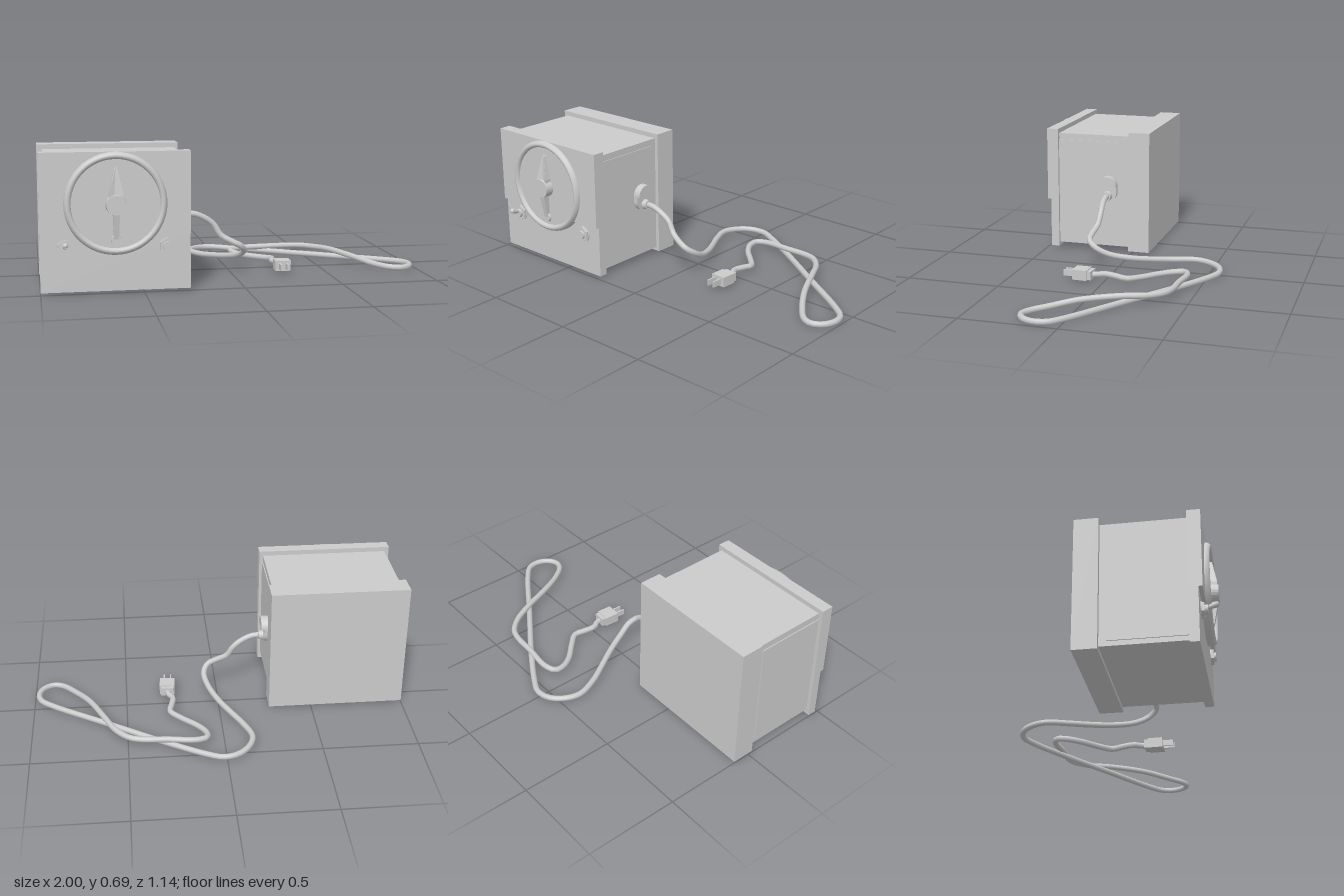
import * as THREE from 'three';

const grey = new THREE.MeshStandardMaterial({ color: 0xcccccc, side: THREE.DoubleSide });
const flat = new THREE.MeshStandardMaterial({ color: 0xcccccc, flatShading: true, side: THREE.DoubleSide });

function add(parent, name, geometry, x = 0, y = 0, z = 0, material = flat) {
  const mesh = new THREE.Mesh(geometry, material);
  mesh.name = name;
  mesh.position.set(x, y, z);
  parent.add(mesh);
  return mesh;
}

// Box given by its min and max corners
function block(parent, name, a, b) {
  const [w, h, d] = b.map((v, i) => v - a[i]);
  return add(parent, name, new THREE.BoxGeometry(w, h, d),
    (a[0] + b[0]) / 2, (a[1] + b[1]) / 2, (a[2] + b[2]) / 2);
}

// Cylinder whose axis points to +z, starting at z = 0
function disc(r0, r1, depth, sides) {
  return new THREE.CylinderGeometry(r1, r0, depth, sides).rotateX(Math.PI / 2).translate(0, 0, depth / 2);
}

function makeHousing() {
  const g = new THREE.Group();
  g.name = 'housing';
  block(g, 'body', [-0.975, 0.03, 0.02], [-0.29, 0.665, 0.44]);
  block(g, 'backCover', [-1, 0.01, -0.095], [-0.27, 0.69, 0.025]);
  block(g, 'lowerFrontPanel', [-1, 0.01, 0.435], [-0.27, 0.285, 0.481]);
  block(g, 'upperFrontPanel', [-1, 0.285, 0.435], [-0.27, 0.69, 0.5]);
  for (const x of [-0.976, -0.289]) {
    block(g, 'sidePanel', [x - 0.004, 0.055, 0.06], [x + 0.004, 0.63, 0.435]);
  }
  return g;
}

function makeDial() {
  const g = new THREE.Group();
  g.name = 'dial';
  g.position.set(-0.635, 0.44, 0);
  // Rounded bezel around a flat face
  const profile = [[0.25, 0.475], [0.25, 0.5], [0.246, 0.514], [0.238, 0.523], [0.23, 0.525],
    [0.222, 0.522], [0.217, 0.515], [0.215, 0.505]].map(([r, z]) => new THREE.Vector2(r, z));
  add(g, 'bezel', new THREE.LatheGeometry(profile, 48).rotateX(Math.PI / 2), 0, 0, 0, grey);
  add(g, 'dialFace', disc(0.218, 0.218, 0.03, 48), 0, 0, 0.477, grey);

  // Needle, thick at the hub and thin at the tip
  const needle = new THREE.Shape([[-0.007, 0.17], [0, 0.18], [0.007, 0.17], [0.034, 0.05], [0.034, 0],
    [0.016, -0.05], [0.012, -0.17], [-0.012, -0.17], [-0.016, -0.05], [-0.034, 0], [-0.034, 0.05]]
    .map(([x, y]) => new THREE.Vector2(x, y)));
  const geo = new THREE.ExtrudeGeometry(needle, { depth: 0.03, bevelEnabled: false });
  const p = geo.attributes.position;
  for (let i = 0; i < p.count; i++) {
    const far = Math.max(0, Math.abs(p.getY(i)) - 0.05) / 0.13;
    if (p.getZ(i) > 0) p.setZ(i, 0.038 - 0.024 * Math.min(1, far));
  }
  geo.computeVertexNormals();
  add(g, 'needle', geo, 0, 0, 0.506);
  add(g, 'needleTail', disc(0.026, 0.024, 0.014, 20), 0, -0.175, 0.506);
  add(g, 'hub', disc(0.051, 0.048, 0.044, 24), 0, -0.003, 0.506);
  return g;
}

function makeControl(name, x) {
  const g = new THREE.Group();
  g.name = name;
  g.position.set(x, 0.225, 0.48);
  add(g, 'washer', disc(0.042, 0.042, 0.005, 24));
  add(g, 'hexNut', disc(0.042, 0.042, 0.018, 6));
  return g;
}

function makeStrainRelief() {
  const g = new THREE.Group();
  g.name = 'strainRelief';
  // Half rounds meeting at a step, cap above and cord outlet below
  const half = (name, cy, cut, sign, depth) => {
    const s = new THREE.Shape();
    s.moveTo(-0.055, cut - cy);
    s.lineTo(0.055, cut - cy);
    s.absarc(0, 0, 0.055, 0, sign * Math.PI, sign < 0);
    s.closePath();
    const geo = new THREE.ExtrudeGeometry(s, { depth, bevelEnabled: false, curveSegments: 14 });
    add(g, name, geo.rotateY(Math.PI / 2), -0.295, cy, 0.145);
  };
  half('reliefCap', 0.382, 0.382, 1, 0.05);
  half('reliefBase', 0.35, 0.382, -1, 0.035);
  const collar = disc(0.03, 0.024, 0.04, 16).rotateY(Math.PI / 2);
  add(g, 'collar', collar, -0.275, 0.328, 0.142, grey);
  return g;
}

function makeCord() {
  const points = [[-0.28, 0.328, 0.142], [-0.2, 0.326, 0.14], [-0.14, 0.3, 0.137], [-0.095, 0.265, 0.132],
    [-0.06, 0.21, 0.138], [0, 0.175, 0.152], [0.045, 0.152, 0.152], [0.07, 0.12, 0.11], [0.055, 0.085, 0.04],
    [0.01, 0.06, -0.07], [-0.05, 0.045, -0.18], [-0.105, 0.036, -0.28], [-0.145, 0.033, -0.4],
    [-0.12, 0.03, -0.48], [-0.06, 0.026, -0.54], [0.02, 0.022, -0.555], [0.1, 0.019, -0.52], [0.3, 0.018, -0.4],
    [0.6, 0.018, -0.2], [0.9, 0.018, 0], [0.965, 0.018, 0.06], [0.98, 0.018, 0.12], [0.955, 0.018, 0.185],
    [0.9, 0.018, 0.217], [0.85, 0.019, 0.2], [0.78, 0.026, 0.12], [0.7, 0.045, -0.01], [0.62, 0.055, -0.19],
    [0.56, 0.05, -0.31], [0.49, 0.048, -0.38], [0.42, 0.046, -0.4], [0.3, 0.044, -0.405], [0.15, 0.038, -0.415],
    [0.09, 0.034, -0.39], [0.09, 0.03, -0.34], [0.13, 0.026, -0.27], [0.22, 0.025, -0.18], [0.27, 0.028, -0.12],
    [0.26, 0.032, -0.07], [0.248, 0.036, 0], [0.27, 0.037, 0.035], [0.275, 0.037, 0.08]];
  const curve = new THREE.CatmullRomCurve3(points.map(v => new THREE.Vector3(...v)), false, 'centripetal');
  const cord = new THREE.Mesh(new THREE.TubeGeometry(curve, 160, 0.016, 8), grey);
  cord.name = 'cord';
  return cord;
}

function makePlug() {
  const g = new THREE.Group();
  g.name = 'plug';
  g.position.set(0.274, 0.038, 0.11);
  g.rotation.y = -0.06;
  block(g, 'plugBody', [-0.041, -0.027, -0.03], [0.041, 0.027, 0.05]);
  block(g, 'plugRear', [-0.034, -0.023, -0.052], [0.034, 0.023, -0.03]);
  for (const x of [-0.018, 0.018]) {
    block(g, 'prong', [x - 0.004, -0.016, 0.05], [x + 0.004, 0.016, 0.106]);
  }
  return g;
}

export function createModel() {
  const model = new THREE.Group();
  model.add(makeHousing(), makeDial(), makeStrainRelief(), makeCord(), makePlug());

  // Toggle switch with a raised lever
  const toggle = makeControl('toggleSwitch', -0.88);
  add(toggle, 'bushing', disc(0.024, 0.024, 0.034, 16), 0, 0, 0, grey);
  const lever = add(toggle, 'lever', disc(0.009, 0.014, 0.056, 12), 0, 0.008, 0.02, grey);
  lever.rotation.x = -0.3;
  add(toggle, 'leverTip', new THREE.SphereGeometry(0.014, 12, 8), 0, 0.025, 0.07, grey);

  // Fuse holder or lamp beside it
  const lamp = makeControl('indicator', -0.385);
  add(lamp, 'indicatorCap', disc(0.025, 0.022, 0.028, 20), 0, 0, 0, grey);
  model.add(toggle, lamp);
  return model;
}
